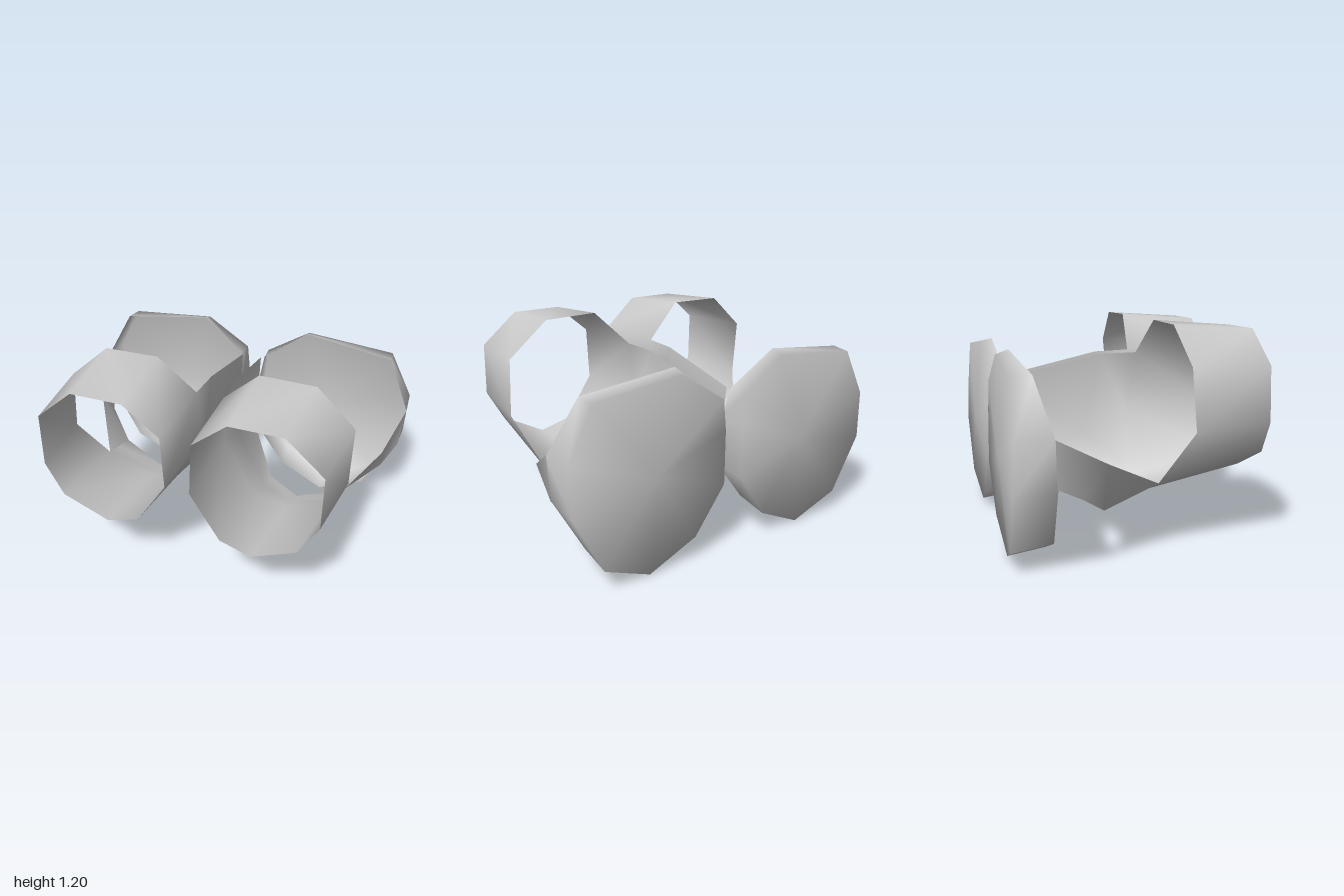
import * as THREE from 'three';
import { mergeVertices } from 'three/addons/utils/BufferGeometryUtils.js';

const material = new THREE.MeshStandardMaterial({ color: 0xcccccc, side: THREE.DoubleSide });

// Quads between two matching outlines
function loft(a, b, closed = false) {
  const tris = [];
  const n = closed ? a.length : a.length - 1;
  for (let i = 0; i < n; i++) {
    const j = (i + 1) % a.length;
    tris.push([a[i], a[j], b[j]], [a[i], b[j], b[i]]);
  }
  return tris;
}

// Smooth mesh from triangles, mirrored in x when side is -1
function surface(name, tris, side) {
  const pos = [];
  for (const t of tris) {
    const order = side > 0 ? t : [t[0], t[2], t[1]];
    for (const [x, y, z] of order) pos.push(x * side, y, z);
  }
  let geo = new THREE.BufferGeometry();
  geo.setAttribute('position', new THREE.Float32BufferAttribute(pos, 3));
  geo = mergeVertices(geo);
  geo.computeVertexNormals();
  const mesh = new THREE.Mesh(geo, material);
  mesh.name = name;
  return mesh;
}

// Cuff: front and back outlines, clockwise from the top
const cuffFront = [
  [0.28, 1.165, 0.67], [0.57, 1.165, 0.67], [0.775, 0.99, 0.68], [0.775, 0.69, 0.69], [0.67, 0.51, 0.7],
  [0.42, 0.38, 0.68], [0.24, 0.43, 0.67], [0.07, 0.69, 0.66], [0.085, 1.0, 0.66],
];
const cuffBack = [
  [0.29, 1.2, 0.21], [0.6, 1.195, 0.21], [0.82, 1.0, 0.23], [0.82, 0.67, 0.26], [0.71, 0.39, 0.1],
  [0.44, 0.275, 0.1], [0.255, 0.32, 0.1], [0.06, 0.67, 0.12], [0.08, 1.0, 0.175],
];

// Trough running back from the lower and inner part of the cuff
const troughMid = [
  [0.725, 0.335, -0.05], [0.45, 0.243, 0], [0.26, 0.275, -0.06], [0.055, 0.56, -0.15], [0.07, 0.995, -0.03],
];
const troughEnd = [
  [0.74, 0.28, -0.2], [0.46, 0.21, -0.105], [0.26, 0.235, -0.21], [0.055, 0.41, -0.49], [0.06, 0.88, -0.55],
];

// Outer strap: upper and lower edges from the trough to the shell
const strapUpper = [cuffBack[4], [0.92, 0.57, -0.23], [1.0, 0.72, -0.5]];
const strapLower = [troughEnd[0], [0.91, 0.4, -0.35], [0.98, 0.48, -0.49]];

// Shell: front rim, back rim and middle of the back
const shellFront = [
  [0.33, 1.065, -0.605], [0.86, 1.0, -0.575], [1.0, 0.72, -0.5], [0.975, 0.47, -0.485], [0.79, 0.15, -0.47],
  [0.525, 0.035, -0.46], [0.26, 0.165, -0.47], [0.06, 0.42, -0.49], [0.055, 0.7, -0.52], [0.08, 0.88, -0.565],
];
const shellBack = [
  [0.33, 1.04, -0.675], [0.85, 0.99, -0.685], [0.99, 0.72, -0.69], [0.98, 0.45, -0.7], [0.81, 0.13, -0.69],
  [0.525, 0.005, -0.665], [0.24, 0.14, -0.68], [0.06, 0.4, -0.69], [0.055, 0.7, -0.685], [0.07, 0.87, -0.68],
];
const shellCentre = [0.5, 0.55, -0.7];

function createSide(side) {
  const group = new THREE.Group();
  group.name = side > 0 ? 'leftGuard' : 'rightGuard';

  const sleeve = [
    ...loft(cuffFront, cuffBack, true),
    ...loft(cuffBack.slice(4), troughMid),
    ...loft(troughMid, troughEnd),
    ...loft(strapLower, strapUpper),
  ];
  group.add(surface('sleeve', sleeve, side));

  const shell = loft(shellFront, shellBack, true);
  shellBack.forEach((p, i) => shell.push([p, shellBack[(i + 1) % shellBack.length], shellCentre]));
  group.add(surface('shell', shell, side));
  return group;
}

export function createModel() {
  const model = new THREE.Group();
  model.name = 'guardPair';
  model.add(createSide(1), createSide(-1));
  return model;
}
